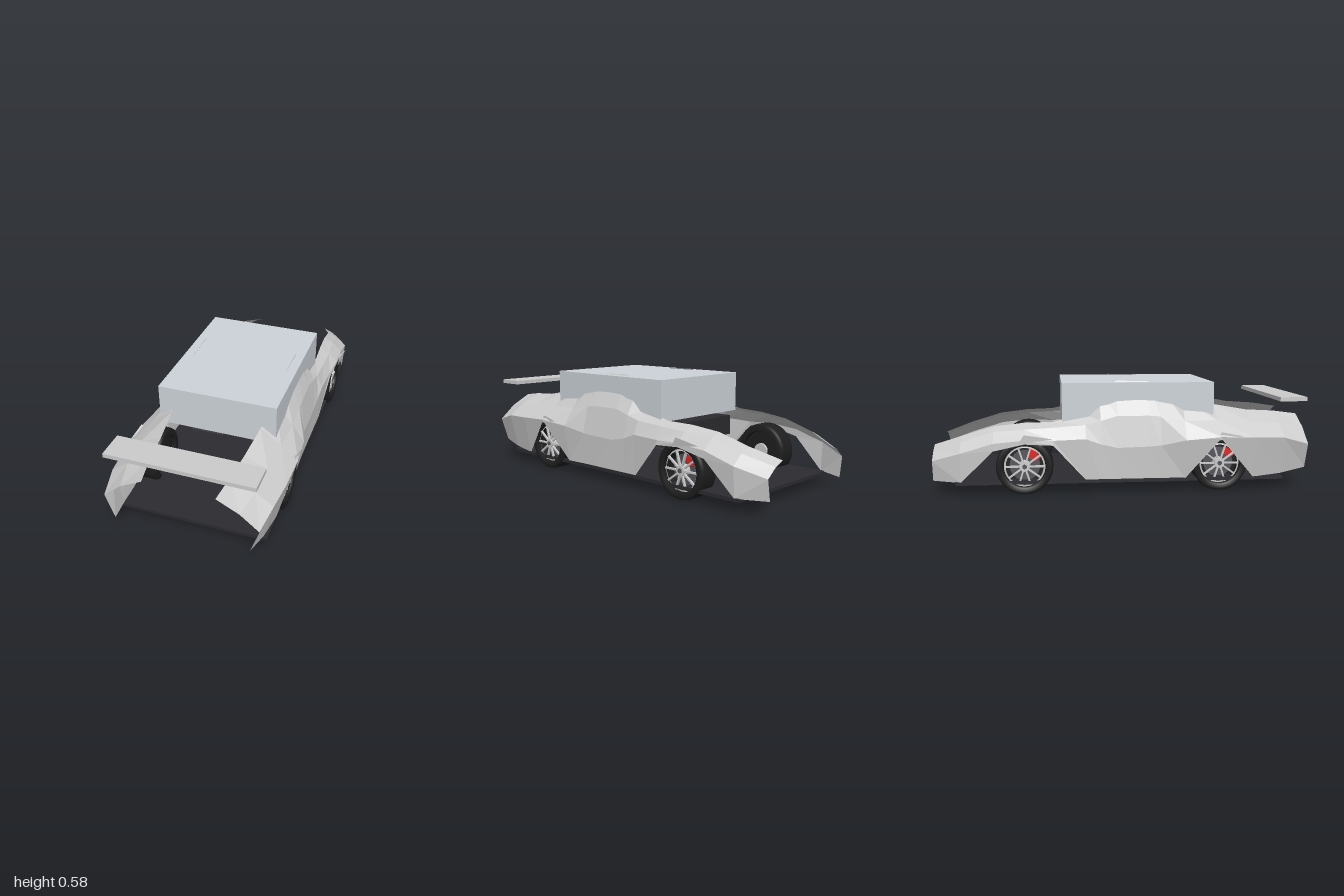
import * as THREE from 'three';

const mat = (color, extra = {}) => new THREE.MeshStandardMaterial({ color, ...extra });
const grey = mat(0xcccccc);
const shellMat = mat(0xcccccc, { flatShading: true, side: THREE.DoubleSide });
const glass = mat(0xcdd3d9);
const dark = mat(0x2c2b30);
const seatMat = mat(0x45434b);
const rubber = mat(0x1e1e1e, { side: THREE.DoubleSide });
const discMat = mat(0x55555a);
const red = mat(0xdd2222);

function add(parent, name, geometry, material, x = 0, y = 0, z = 0) {
  const mesh = new THREE.Mesh(geometry, material);
  mesh.name = name;
  mesh.position.set(x, y, z);
  parent.add(mesh);
  return mesh;
}

// Box given by its limits on each axis
function box(parent, name, material, [x0, x1], [y0, y1], [z0, z1]) {
  return add(parent, name, new THREE.BoxGeometry(x1 - x0, y1 - y0, z1 - z0), material,
    (x0 + x1) / 2, (y0 + y1) / 2, (z0 + z1) / 2);
}

// Body side sections: z, then x,y of top edge, shoulder, belt line and sill
const sections = [
  [1.00, .185, .385, .30, .325, .395, .245, .35, .11],
  [.86, .205, .405, .33, .350, .42, .285, .375, .085],
  [.70, .22, .415, .34, .360, .435, .29, .39, .07],
  [.51, .24, .45, .35, .372, .44, .297, .44, .29],
  [.33, .265, .49, .36, .375, .425, .28, .39, .07],
  [.20, .268, .56, .36, .400, .395, .25, .385, .07],
  [.14, .265, .58, .36, .405, .393, .245, .385, .07],
  [-.03, .265, .585, .355, .405, .39, .24, .385, .07],
  [-.12, .275, .53, .36, .380, .39, .26, .385, .07],
  [-.20, .30, .41, .36, .360, .395, .29, .385, .07],
  [-.37, .31, .372, .36, .348, .40, .285, .405, .26],
  [-.52, .30, .368, .36, .340, .412, .29, .412, .27],
  [-.68, .29, .35, .345, .328, .405, .275, .405, .235],
  [-.85, .28, .30, .34, .275, .40, .225, .39, .07],
  [-1.0, .225, .248, .28, .225, .34, .178, .32, .07],
];

// Faceted open shell joining the sections
function bodySideGeometry(side) {
  const positions = [], index = [], n = 4;
  for (const [z, ...p] of sections)
    for (let j = 0; j < n; j++) positions.push(side * p[2 * j], p[2 * j + 1], z);
  for (let i = 0; i < sections.length - 1; i++) {
    for (let j = 0; j < n - 1; j++) {
      const a = i * n + j, b = a + 1, c = a + n, d = c + 1;
      if (side > 0) index.push(a, b, c, b, d, c);
      else index.push(a, c, b, b, c, d);
    }
  }
  const g = new THREE.BufferGeometry();
  g.setAttribute('position', new THREE.Float32BufferAttribute(positions, 3));
  g.setIndex(index);
  g.computeVertexNormals();
  return g;
}

// Lathe spun round the x axis; points are [radius, x]
function spun(points, segments = 40) {
  const g = new THREE.LatheGeometry(points.map(([r, x]) => new THREE.Vector2(r, x)), segments);
  return g.rotateZ(-Math.PI / 2);
}

// Wheel with its outer face on +x
function makeWheel(flapLength) {
  const wheel = new THREE.Group();
  add(wheel, 'tyre', spun([[.112, -.058], [.138, -.058], [.146, -.05], [.149, -.035],
    [.149, .035], [.146, .05], [.138, .058], [.112, .058], [.108, .045], [.108, -.045], [.112, -.058]]), rubber);
  add(wheel, 'rimLip', spun([[.098, .038], [.104, .05], [.112, .052], [.112, .03], [.098, .038]]), grey);
  add(wheel, 'wheelBack', new THREE.CylinderGeometry(.108, .108, .01, 32).rotateZ(Math.PI / 2), rubber, -.03);
  add(wheel, 'brakeDisc', new THREE.CylinderGeometry(.08, .08, .012, 32).rotateZ(Math.PI / 2), discMat, 0);
  add(wheel, 'axleEnd', new THREE.CylinderGeometry(.04, .04, .03, 24).rotateZ(Math.PI / 2), grey, -.035);
  add(wheel, 'hub', new THREE.CylinderGeometry(.026, .03, .05, 24).rotateZ(-Math.PI / 2), grey, .025);
  add(wheel, 'hubCap', new THREE.CylinderGeometry(.012, .012, .006, 16).rotateZ(Math.PI / 2), discMat, .051);
  for (let i = 0; i < 10; i++) {
    const spoke = new THREE.BoxGeometry(.012, .085, .009).translate(0, .062, 0);
    add(wheel, 'spoke', spoke, grey, .04).rotation.x = (i + .5) * Math.PI / 5;
  }
  // Caliper: a short ring sector behind the spokes
  const sector = new THREE.Shape();
  sector.absarc(0, 0, .092, .45, 1.2, false);
  sector.absarc(0, 0, .052, 1.2, .45, true);
  const caliper = new THREE.ExtrudeGeometry(sector, { depth: .025, bevelEnabled: false, curveSegments: 8 });
  add(wheel, 'brakeCaliper', caliper.rotateY(Math.PI / 2), red, .005);
  // Small triangular flap above the tyre
  const flap = new THREE.BufferGeometry();
  flap.setAttribute('position', new THREE.Float32BufferAttribute([
    .085, .172, 0, .08, .125, .03, .095, .15, -flapLength,
    .06, .165, 0, .085, .172, 0, .095, .15, -flapLength], 3));
  flap.computeVertexNormals();
  add(wheel, 'archFlap', flap, shellMat);
  return wheel;
}

export function createModel() {
  const model = new THREE.Group();
  model.name = 'car';

  // Floor, cabin and wing
  box(model, 'floor', dark, [-.39, .39], [.055, .073], [-.877, .865]);
  box(model, 'cabin', glass, [-.318, .318], [.358, .577], [-.322, .495]);
  box(model, 'wing', grey, [-.377, .377], [.475, .497], [.845, .993]);

  // Interior
  box(model, 'dashboard', dark, [-.285, .285], [.22, .33], [-.31, -.19]);
  for (const s of [-1, 1]) {
    const seat = new THREE.Group();
    seat.name = 'seat';
    seat.position.x = s * .178;
    box(seat, 'seatCushion', seatMat, [-.094, .094], [.108, .15], [-.03, .20]);
    box(seat, 'seatBack', seatMat, [-.09, .09], [.132, .42], [.17, .215]);
    model.add(seat);
  }

  // Body sides and wheels
  for (const s of [-1, 1]) {
    add(model, s > 0 ? 'leftBodySide' : 'rightBodySide', bodySideGeometry(s), shellMat);
    for (const [z, flapLength] of [[.515, .115], [-.52, .15]]) {
      const wheel = makeWheel(flapLength);
      wheel.name = 'wheel';
      wheel.position.set(s * .343, .149, z);
      if (s < 0) wheel.rotation.y = Math.PI;
      model.add(wheel);
    }
  }
  return model;
}
